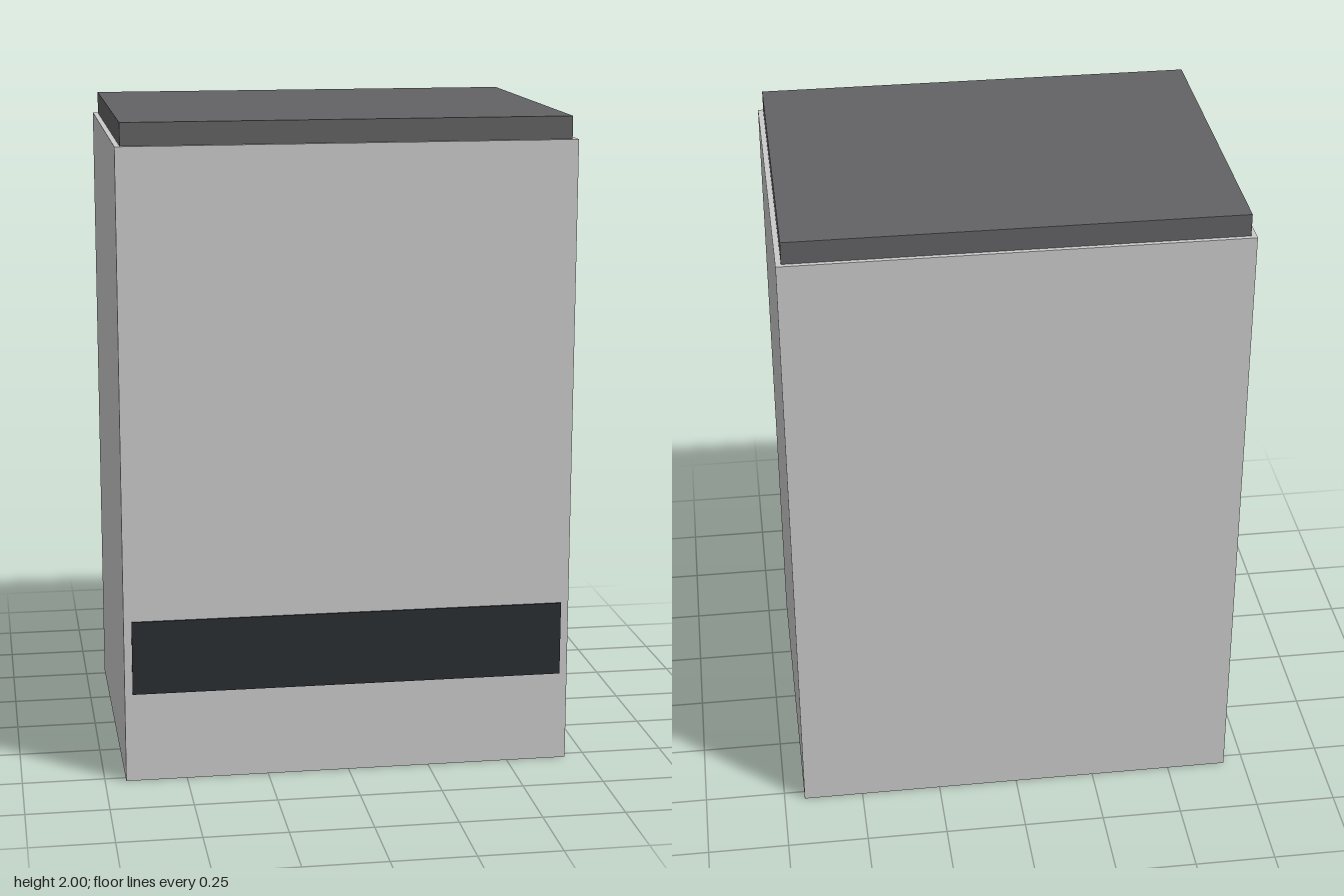
import * as THREE from 'three';

export function createModel() {
  const group = new THREE.Group();
  group.name = 'cabinet';

  // Adds a box resting at height y
  const addBox = (name, color, [w, h, d], y, z) => {
    const mesh = new THREE.Mesh(
      new THREE.BoxGeometry(w, h, d),
      new THREE.MeshStandardMaterial({ color })
    );
    mesh.name = name;
    mesh.position.set(0, y + h / 2, z);
    group.add(mesh);
  };

  // Main casing
  addBox('body', 0xcccccc, [1.372, 1.932, 1.063], 0, -0.003);
  // Slightly inset dark top
  addBox('lid', 0x636365, [1.34, 0.068, 1.035], 1.932, -0.003);
  // Thin dark band standing just proud of the front face
  addBox('frontPanel', 0x2a2f32, [1.324, 0.228, 0.01], 0.277, 0.529);

  return group;
}
